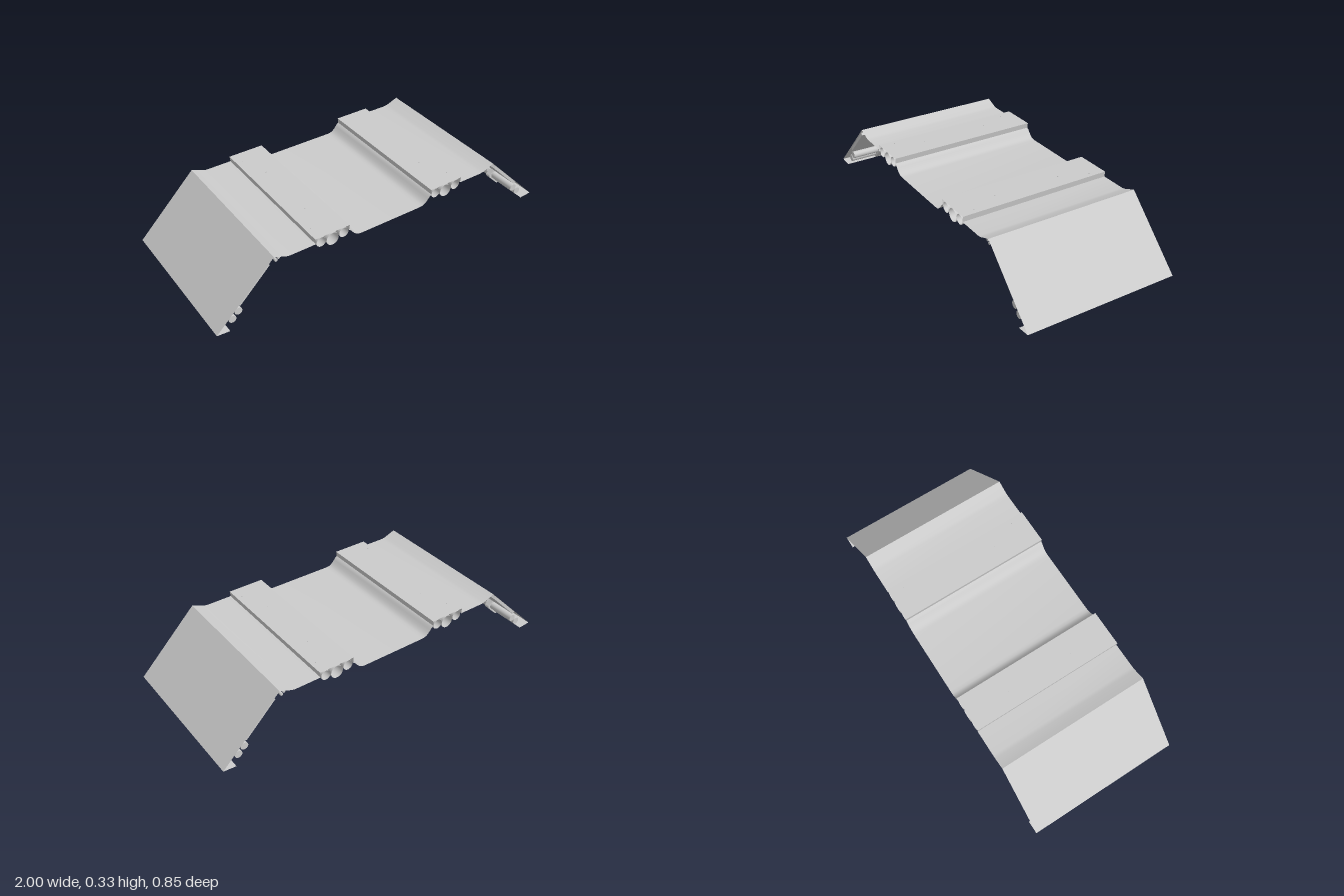
import * as THREE from 'three';
import { toCreasedNormals } from 'three/addons/utils/BufferGeometryUtils.js';

const HALF = 0.425; // half depth along z
const solid = new THREE.MeshStandardMaterial({ color: 0xcccccc });
const thin = new THREE.MeshStandardMaterial({ color: 0xcccccc, side: THREE.DoubleSide });

export function createModel() {
  const model = new THREE.Group();

  const add = (name, geometry, material, x = 0, y = 0, z = 0, turn = 0) => {
    const mesh = new THREE.Mesh(geometry, material);
    mesh.name = name;
    mesh.position.set(x, y, z);
    mesh.rotation.z = turn;
    model.add(mesh);
    return mesh;
  };

  // Thin folded sheet: an x-y profile swept along z
  const sheet = (name, profile) => {
    const pos = [], index = [];
    profile.forEach(([x, y], i) => {
      pos.push(x, y, HALF, x, y, -HALF);
      const a = 2 * i;
      if (i) index.push(a - 2, a, a - 1, a, a + 1, a - 1);
    });
    const geo = new THREE.BufferGeometry();
    geo.setAttribute('position', new THREE.Float32BufferAttribute(pos, 3));
    geo.setIndex(index);
    add(name, toCreasedNormals(geo, 0.5), thin);
  };

  // Round bar along z
  const bar = (name, r, length, x, y, open, sides = 24) => {
    const geo = new THREE.CylinderGeometry(r, r, length, sides, 1, open).rotateX(Math.PI / 2);
    add(name, geo, open ? thin : solid, x, y);
  };

  // Clamp plate with two holes and rounded corners
  const w = 0.05, h = 0.028, c = 0.012;
  const outline = new THREE.Shape();
  outline.moveTo(-w + c, -h).lineTo(w - c, -h);
  outline.quadraticCurveTo(w, -h, w, -h + c).lineTo(w, h - c);
  outline.quadraticCurveTo(w, h, w - c, h).lineTo(-w + c, h);
  outline.quadraticCurveTo(-w, h, -w, h - c).lineTo(-w, -h + c);
  outline.quadraticCurveTo(-w, -h, -w + c, -h);
  for (const x of [-0.024, 0.024]) {
    outline.holes.push(new THREE.Path().absarc(x, 0, 0.02, 0, Math.PI * 2, true));
  }
  const clampGeo = new THREE.ExtrudeGeometry(outline, { depth: 0.03, bevelEnabled: false, curveSegments: 10 });
  clampGeo.translate(0, 0, -0.015);

  // Sunken centre panel with curved sides
  const rise = [[0.18, 0.25], [0.2, 0.252], [0.213, 0.258], [0.225, 0.268], [0.237, 0.282], [0.246, 0.294], [0.256, 0.3]];
  sheet('centrePanel', [...rise.map(([x, y]) => [-x, y]).reverse(), ...rise]);

  for (const s of [-1, 1]) {
    const side = s > 0 ? 'left' : 'right';
    const tilt = -s * Math.PI / 4;
    const flip = (profile) => {
      const p = profile.map(([x, y]) => [s * x, y]);
      return s > 0 ? p : p.reverse();
    };

    // Raised cover strip over the pipes
    sheet(side + 'CoverStrip', flip([[0.256, 0.3], [0.252, 0.33], [0.45, 0.33], [0.447, 0.3]]));

    // Flat shoulder, ridge, sloping outer plate and bottom lip
    sheet(side + 'OuterPanel', flip([[0.447, 0.3], [0.59, 0.3], [0.61, 0.304], [0.675, 0.33], [1, 0.006], [0.93, 0]]));

    // Hollow pipes under the cover strip
    for (const [x, y, r] of [[0.285, 0.298, 0.027], [0.35, 0.288, 0.035], [0.415, 0.298, 0.027]]) {
      bar(side + 'Pipe', r, 2 * HALF - 0.004, s * x, y, true);
    }

    // Small rods below the ridge
    for (const [x, y] of [[0.642, 0.302], [0.656, 0.291]]) {
      bar(side + 'RidgeRod', 0.008, 0.82, s * x, y, false, 12);
    }

    // Backing slab beneath the slope
    add(side + 'BackingSlab', new THREE.BoxGeometry(0.235, 0.016, 0.834), solid, s * 0.784, 0.209, 0, tilt);

    // Twin bars and their clamps near the foot
    const cx = 0.888, cy = 0.067, d = 0.024 * Math.SQRT1_2;
    for (const k of [-1, 1]) {
      bar(side + 'FootBar', 0.02, 0.82, s * (cx + k * d), cy - k * d, false);
    }
    for (const z of [-0.24, 0, 0.24]) {
      add(side + 'Clamp', clampGeo, solid, s * cx, cy, z, tilt);
    }

    // Tiny bolts on the cover strip
    const boltGeo = new THREE.CylinderGeometry(0.004, 0.004, 0.003, 8);
    for (const [x, z] of [[0.42, 0.345], [0.36, 0.19]]) {
      for (const k of [-1, 1]) add(side + 'Bolt', boltGeo, solid, s * x, 0.33, k * z);
    }
  }
  return model;
}
